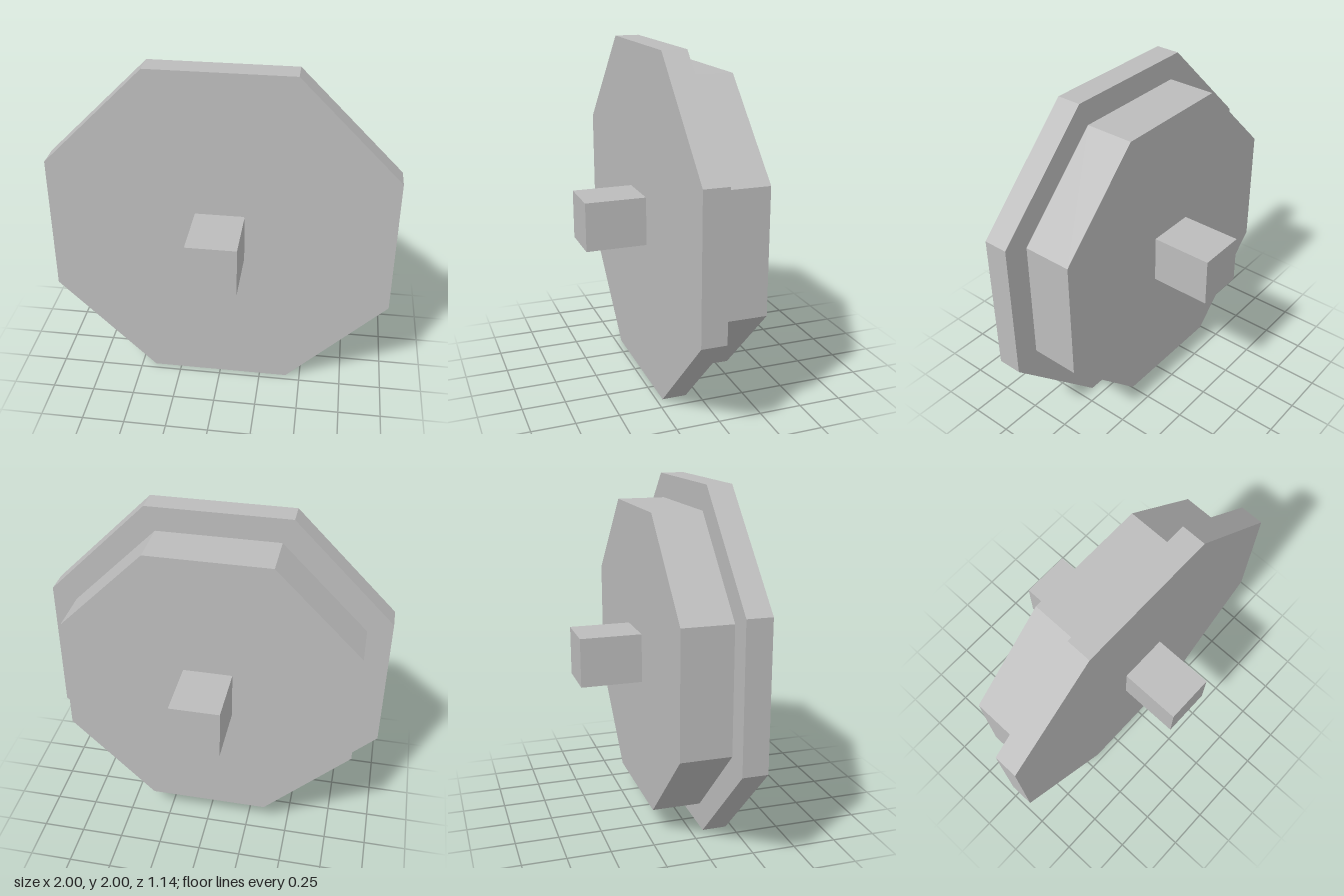
import * as THREE from 'three';

const U = 1 / 7; // base unit: the flange is 14 units across

export function createModel() {
  const group = new THREE.Group();
  const grey = new THREE.MeshStandardMaterial({ color: 0xbcbcbc, flatShading: true });
  grey.name = 'wheel grey';

  // Octagonal disc facing z, with flat sides up, down, left and right
  const addDisc = (name, apothem, zBack, zFront) => {
    const radius = apothem / Math.cos(Math.PI / 8);
    const geometry = new THREE.CylinderGeometry(radius, radius, zFront - zBack, 8, 1, false, Math.PI / 8);
    geometry.rotateX(Math.PI / 2);
    const mesh = new THREE.Mesh(geometry, grey);
    mesh.name = name;
    mesh.position.set(0, 1, (zBack + zFront) / 2);
    group.add(mesh);
  };

  addDisc('flange', 7 * U, 0.5 * U, 1.5 * U);
  addDisc('tread', 6 * U, -1.5 * U, 0.5 * U);

  // Square axle stubs on both faces
  for (const [name, side] of [['frontAxle', 1], ['rearAxle', -1]]) {
    const axle = new THREE.Mesh(new THREE.BoxGeometry(2 * U, 2 * U, 2.5 * U), grey);
    axle.name = name;
    axle.position.set(0, 1, side * 2.75 * U);
    group.add(axle);
  }

  return group;
}
